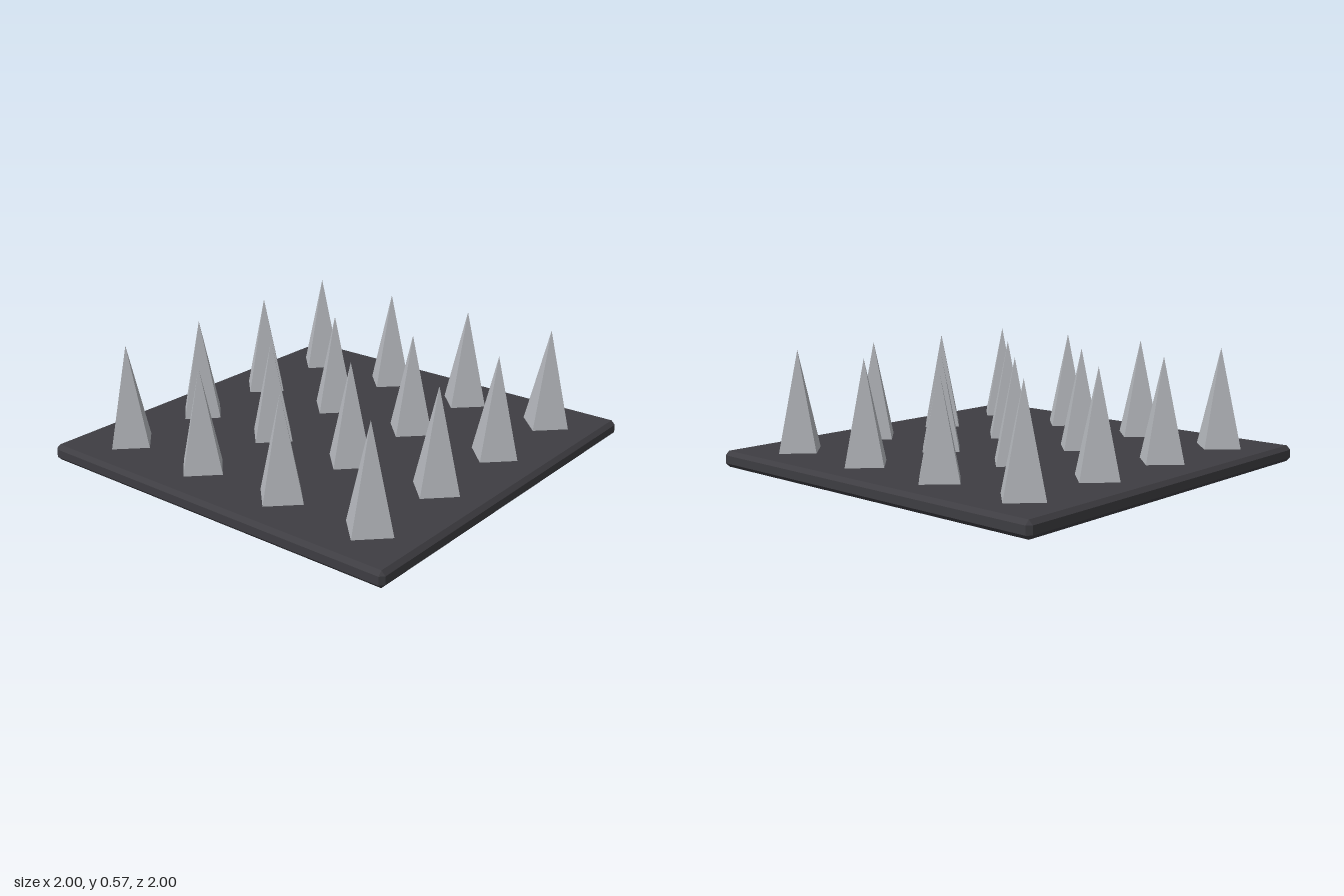
import * as THREE from 'three';
import { ConvexGeometry } from 'three/addons/geometries/ConvexGeometry.js';

const PLATE_HEIGHT = 0.08;
const SPIKE_HEIGHT = 0.495;
const SPIKE_RADIUS = 0.128;
const SPACING = 0.49;
const COUNT = 4;

// Box with every edge cut by a flat chamfer, standing on y = 0
function chamferedBox(width, height, depth, cut) {
  const half = new THREE.Vector3(width / 2, height / 2, depth / 2);
  const points = [];
  for (const sx of [-1, 1]) for (const sy of [-1, 1]) for (const sz of [-1, 1]) {
    for (const axis of ['x', 'y', 'z']) {
      // each corner becomes three points, one on each adjoining face
      const p = half.clone().subScalar(cut);
      p[axis] = half[axis];
      p.multiply(new THREE.Vector3(sx, sy, sz));
      p.y += half.y;
      points.push(p);
    }
  }
  return new ConvexGeometry(points);
}

export function createModel() {
  const model = new THREE.Group();
  model.name = 'spikeTrap';

  const plateMaterial = new THREE.MeshStandardMaterial({ color: 0x3e3d42, flatShading: true });
  const spikeMaterial = new THREE.MeshStandardMaterial({ color: 0xb2b5ba, flatShading: true });

  // Base plate
  const plate = new THREE.Mesh(chamferedBox(2, PLATE_HEIGHT, 2, 0.02), plateMaterial);
  plate.name = 'basePlate';
  model.add(plate);

  // Grid of four-sided spikes, corners pointing along x and z
  const spikes = new THREE.Group();
  spikes.name = 'spikes';
  const spikeGeometry = new THREE.ConeGeometry(SPIKE_RADIUS, SPIKE_HEIGHT, 4);
  const offset = (COUNT - 1) / 2;
  for (let row = 0; row < COUNT; row++) {
    for (let column = 0; column < COUNT; column++) {
      const spike = new THREE.Mesh(spikeGeometry, spikeMaterial);
      spike.name = `spike${row + 1}_${column + 1}`;
      spike.position.set(
        (column - offset) * SPACING,
        PLATE_HEIGHT + SPIKE_HEIGHT / 2,
        (row - offset) * SPACING
      );
      spikes.add(spike);
    }
  }
  model.add(spikes);

  return model;
}
